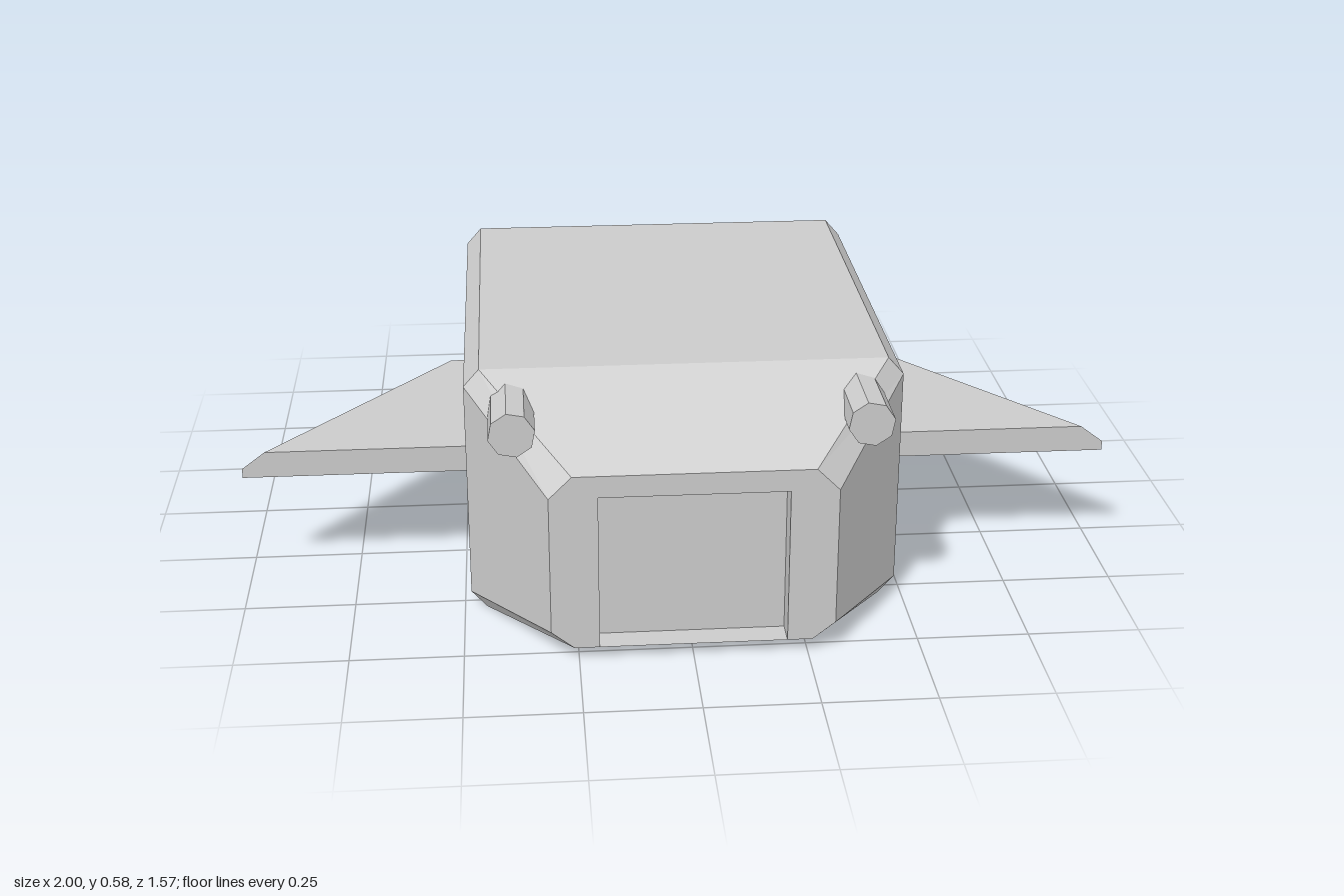
import * as THREE from 'three';

const material = new THREE.MeshStandardMaterial({ color: 0xcccccc, flatShading: true });

function addMesh(parent, name, geometry) {
  const mesh = new THREE.Mesh(geometry, material);
  mesh.name = name;
  parent.add(mesh);
  return mesh;
}

// Skins matching rings, ordered back to front and counter-clockwise seen from +z.
function loft(rings, capBack = true, capFront = true) {
  const positions = [];
  const v = (p) => new THREE.Vector3(...p);
  const tri = (a, b, c) => {
    if (new THREE.Triangle(v(a), v(b), v(c)).getArea() > 1e-7) positions.push(...a, ...b, ...c);
  };
  for (let r = 0; r < rings.length - 1; r++) {
    const back = rings[r], front = rings[r + 1], n = back.length;
    for (let i = 0; i < n; i++) {
      const j = (i + 1) % n;
      tri(back[i], back[j], front[j]);
      tri(back[i], front[j], front[i]);
    }
  }
  const first = rings[0], last = rings[rings.length - 1];
  for (let i = 1; i < first.length - 1; i++) {
    if (capBack) tri(first[0], first[i + 1], first[i]);
    if (capFront) tri(last[0], last[i], last[i + 1]);
  }
  const geometry = new THREE.BufferGeometry();
  geometry.setAttribute('position', new THREE.Float32BufferAttribute(positions, 3));
  geometry.computeVertexNormals();
  return geometry;
}

// Symmetric chamfered section from its right half, listed bottom to top.
function section(z, half) {
  const right = half.map(([x, y]) => [x, y, z]);
  const left = half.map(([x, y]) => [-x, y, z]).reverse();
  return [...right, ...left];
}

function createHull() {
  const hull = new THREE.Group();
  hull.name = 'hull';
  const mid = [[0.45, 0], [0.485, 0.04], [0.485, 0.545], [0.45, 0.585]];
  const nose = [[0.26, 0.03], [0.31, 0.07], [0.31, 0.39], [0.26, 0.44]];
  addMesh(hull, 'hullShell', loft([
    section(-0.785, [[0.19, 0.05], [0.222, 0.09], [0.222, 0.245], [0.222, 0.245]]),
    section(-0.49, [[0.4, 0.01], [0.435, 0.05], [0.437, 0.54], [0.437, 0.54]]),
    section(-0.42, mid),
    section(0.53, mid),
    section(0.785, nose),
  ], true, false));

  // Front frame around the recessed door
  const w = 0.205, top = 0.39, floor = 0.03, z = 0.785, depth = 0.06;
  const outline = section(0, nose).map(([x, y]) => new THREE.Vector2(x, y));
  const frame = new THREE.Shape([
    ...outline,
    new THREE.Vector2(-w, floor), new THREE.Vector2(-w, top),
    new THREE.Vector2(w, top), new THREE.Vector2(w, floor),
  ]);
  addMesh(hull, 'doorFrame', new THREE.ShapeGeometry(frame).translate(0, 0, z));

  // Inward-facing recess walls: clockwise ring so the faces look inside
  const hole = (d) => [[-w, floor, d], [-w, top, d], [w, top, d], [w, floor, d]];
  addMesh(hull, 'doorRecess', loft([hole(z - depth), hole(z)], true, false));
  return hull;
}

// Swept wing with a bevelled outer edge
function createWing(side) {
  const ring = (z, tip) => {
    const pts = [[0.47, 0.263], [tip, 0.263], [tip, 0.285], [tip - 0.053, 0.325], [0.47, 0.325]]
      .map(([x, y]) => [side * x, y, z]);
    return side > 0 ? pts : pts.reverse();
  };
  return loft([ring(-0.16, 0.585), ring(0.36, 1)]);
}

export function createModel() {
  const model = new THREE.Group();
  model.name = 'shuttle';
  model.add(createHull());
  for (const side of [1, -1]) {
    const label = side > 0 ? 'left' : 'right';
    addMesh(model, label + 'Wing', createWing(side));
    // Eight-sided barrel set into the upper front corner
    const barrel = new THREE.CylinderGeometry(0.051, 0.051, 0.19, 8)
      .rotateY(0.2).rotateX(Math.PI / 2);
    addMesh(model, label + 'Barrel', barrel).position.set(side * 0.383, 0.515, 0.635);
  }
  return model;
}
